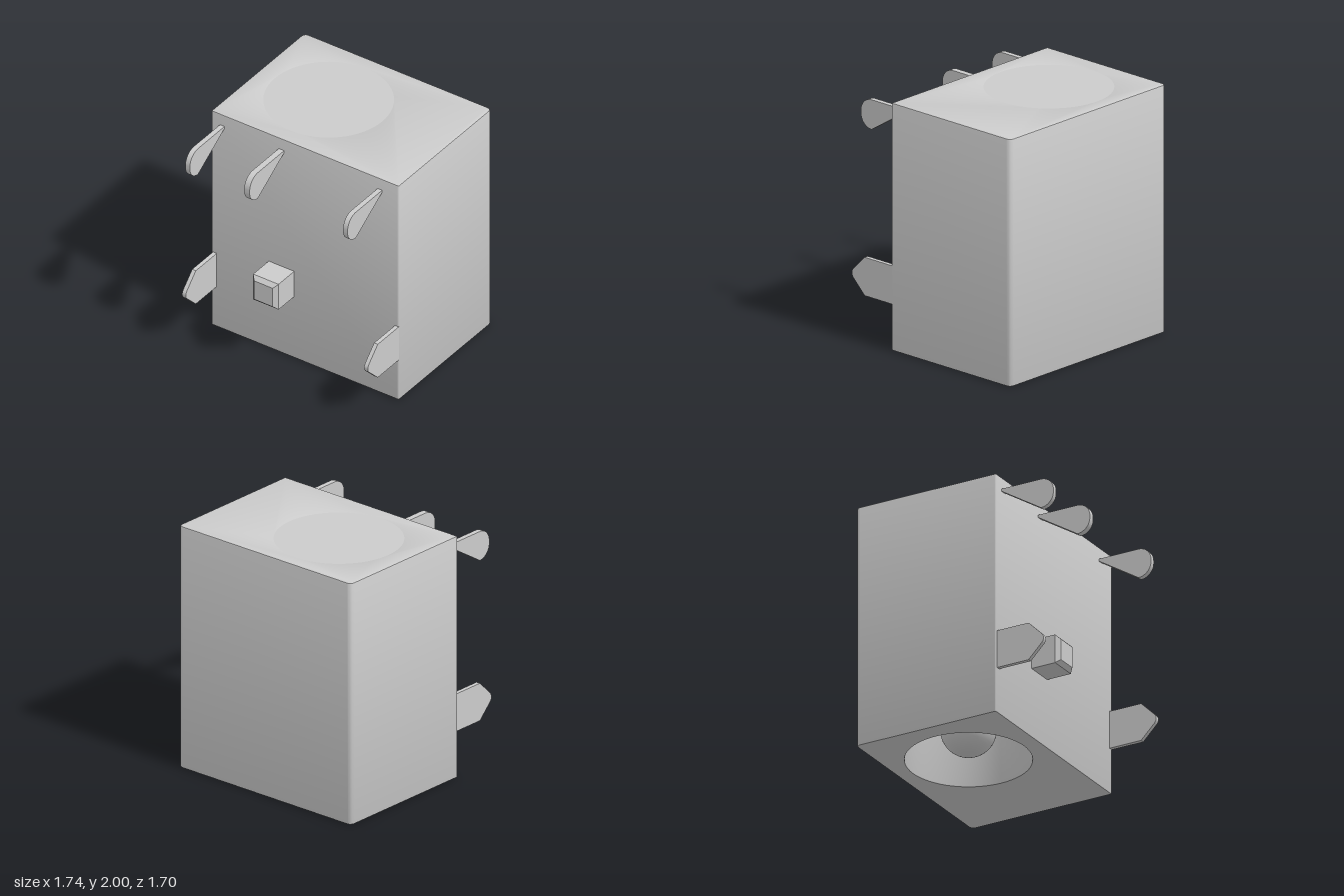
import * as THREE from 'three';
import { toCreasedNormals } from 'three/addons/utils/BufferGeometryUtils.js';

const material = new THREE.MeshStandardMaterial({ color: 0xcccccc });

function addMesh(group, name, geometry) {
  const mesh = new THREE.Mesh(geometry, material);
  mesh.name = name;
  group.add(mesh);
  return mesh;
}

// Flat plate from a side outline drawn in (z, y), centred on the given x
function plate(shape, x, thickness) {
  const g = new THREE.ExtrudeGeometry(shape, { depth: thickness, bevelEnabled: false, curveSegments: 12 });
  g.rotateY(-Math.PI / 2).translate(x + thickness / 2, 0, 0);
  return toCreasedNormals(g, 0.5);
}

export function createModel() {
  const group = new THREE.Group();
  const W = 0.87, FRONT = 0.39, BACK = -0.85;
  const holeX = -0.217, holeZ = -0.237, holeR = 0.486, ceiling = 1.4;
  const edge = 0.012, backR = 0.04, frontR = 0.012;

  // Housing: plan outline in (x, -z), larger rounding at the back corners
  const plan = new THREE.Shape();
  plan.absarc(W - backR, -BACK - backR, backR, 0, Math.PI / 2);
  plan.absarc(-W + backR, -BACK - backR, backR, Math.PI / 2, Math.PI);
  plan.absarc(-W + frontR, -FRONT + frontR, frontR, Math.PI, Math.PI * 1.5);
  plan.absarc(W - frontR, -FRONT + frontR, frontR, Math.PI * 1.5, Math.PI * 2);
  plan.closePath();
  const hole = new THREE.Path();
  hole.absarc(holeX, -holeZ, holeR, 0, Math.PI * 2, true);
  plan.holes.push(hole);
  const housing = new THREE.ExtrudeGeometry(plan, {
    depth: 2 - 2 * edge, bevelThickness: edge, bevelSize: edge, bevelOffset: -edge,
    bevelSegments: 2, curveSegments: 32,
  });
  housing.rotateX(-Math.PI / 2).translate(0, edge, 0);
  addMesh(group, 'housing', toCreasedNormals(housing, 0.5));

  // Solid upper part that closes the socket
  const plug = new THREE.CylinderGeometry(holeR + edge, holeR + edge, 2 - ceiling, 64);
  addMesh(group, 'socketCeiling', plug).position.set(holeX, (2 + ceiling) / 2, holeZ);

  // Round-tipped centre pin inside the socket
  const pinR = 0.217, tipY = 0.04;
  const profile = [];
  for (let i = 0; i <= 12; i++) {
    const a = (i / 12) * Math.PI / 2;
    profile.push(new THREE.Vector2(pinR * Math.sin(a), tipY + pinR * (1 - Math.cos(a))));
  }
  profile.push(new THREE.Vector2(pinR, ceiling));
  addMesh(group, 'centrePin', new THREE.LatheGeometry(profile, 40)).position.set(holeX, 0, holeZ);

  // Upper terminals with rounded ends
  const y0 = 1.66, y1 = 1.9, tip = 0.85, r = 0.11;
  const rounded = new THREE.Shape();
  rounded.moveTo(FRONT - 0.03, y0);
  rounded.absarc(tip - r, y0 + r, r, -Math.PI / 2, 0);
  rounded.absarc(tip - r, y1 - r, r, 0, Math.PI / 2);
  rounded.lineTo(FRONT - 0.03, y1);
  rounded.closePath();
  [[-0.768, 0.042], [-0.218, 0.05], [0.695, 0.042]].forEach(([x, t], i) =>
    addMesh(group, 'upperTerminal' + (i + 1), plate(rounded, x, t)));

  // Lower tabs with pointed ends
  const pointed = new THREE.Shape();
  pointed.moveTo(FRONT - 0.03, 0.375);
  pointed.lineTo(0.668, 0.375);
  pointed.lineTo(0.788, 0.495);
  pointed.quadraticCurveTo(0.815, 0.53, 0.788, 0.565);
  pointed.lineTo(0.668, 0.685);
  pointed.lineTo(FRONT - 0.03, 0.685);
  pointed.closePath();
  addMesh(group, 'rightTab', plate(pointed, -0.836, 0.034));
  addMesh(group, 'leftTab', plate(pointed, 0.852, 0.034));

  // Square locating post with a chamfered end
  const h = 0.118, c = 0.032;
  const square = new THREE.Shape([[-h, -h], [h, -h], [h, h], [-h, h]].map(p => new THREE.Vector2(...p)));
  const post = new THREE.ExtrudeGeometry(square, {
    depth: 0.24, bevelThickness: c, bevelSize: c, bevelOffset: -c, bevelSegments: 1,
  });
  addMesh(group, 'locatingPost', post).position.set(-0.218, 0.692, 0.358);

  return group;
}
